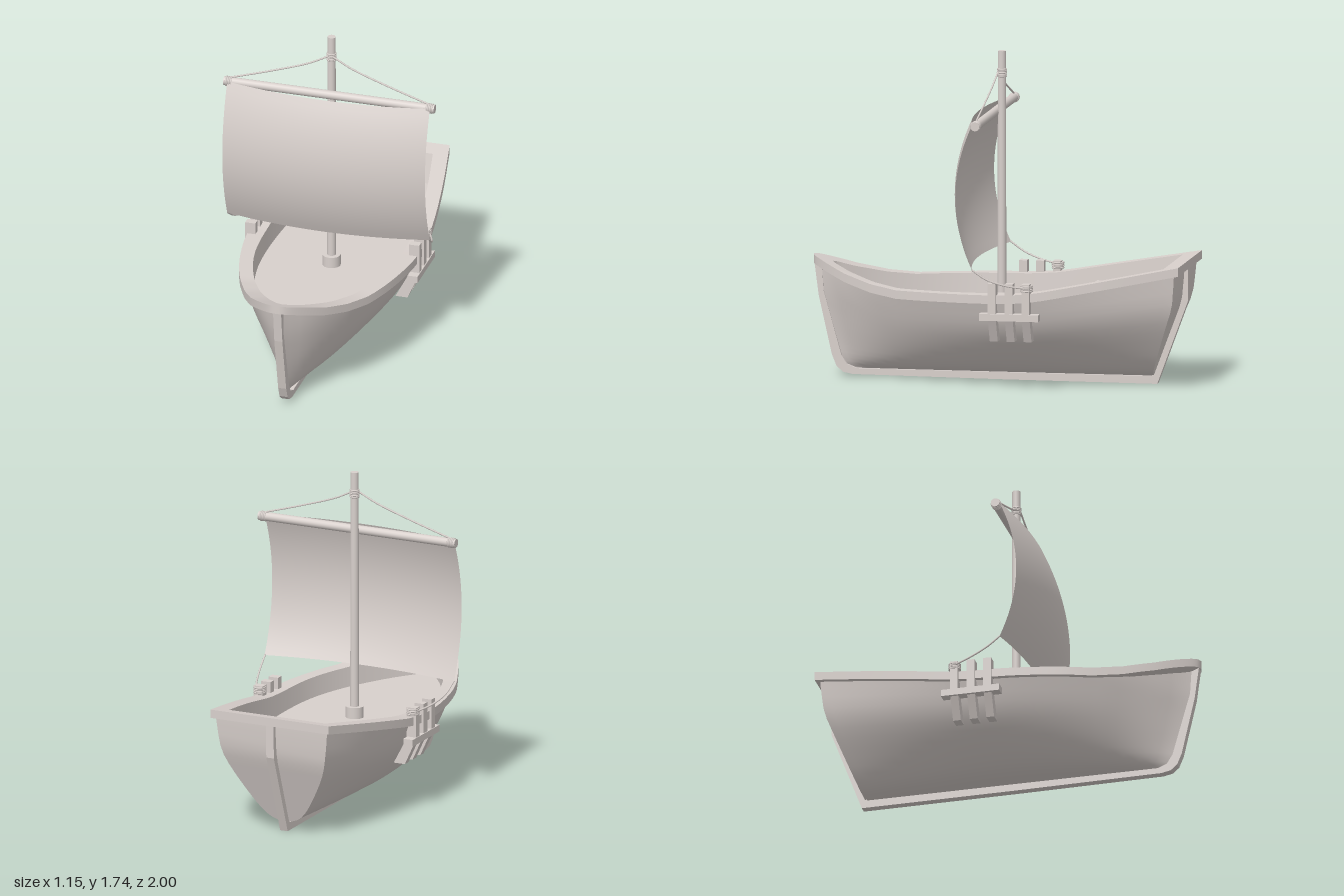
import * as THREE from 'three';
import { toCreasedNormals } from 'three/addons/utils/BufferGeometryUtils.js';

const V = (x, y, z) => new THREE.Vector3(x, y, z);
const wood = new THREE.MeshStandardMaterial({ color: 0xd8d0cc, side: THREE.DoubleSide });
wood.name = 'pale wood';

// Linear lookup in a table of [key, value] pairs with rising keys
function lookup(table, k) {
  if (k <= table[0][0]) return table[0][1];
  for (let i = 1; i < table.length; i++) {
    const [a, va] = table[i - 1], [b, vb] = table[i];
    if (k <= b) return va + (vb - va) * (k - a) / (b - a);
  }
  return table[table.length - 1][1];
}

// Surface through rows of points
function grid(rows, crease = 0.6) {
  const n = rows[0].length, idx = [];
  for (let i = 0; i < rows.length - 1; i++) {
    for (let j = 0; j < n - 1; j++) {
      const a = i * n + j, b = a + n;
      idx.push(a, b, a + 1, b, b + 1, a + 1);
    }
  }
  const g = new THREE.BufferGeometry().setFromPoints(rows.flat());
  g.setIndex(idx);
  return toCreasedNormals(g, crease);
}

const mirrorX = p => V(-p.x, p.y, p.z);
const smooth = pts => new THREE.CatmullRomCurve3(pts.map(([x, z]) => V(x, 0, z))).getPoints(40);
const section = pts => new THREE.SplineCurve(pts.map(p => new THREE.Vector2(...p))).getPoints(16);

// Half outlines of the gunwale, stern to bow, as [x, z]
const outer = smooth([[.345, -1], [.41, -.65], [.455, -.3], [.462, 0], [.435, .2], [.385, .4],
  [.305, .6], [.203, .8], [.105, .93], [.04, .988], [0, 1]]);
const inner = smooth([[.28, -.91], [.335, -.62], [.37, -.3], [.377, 0], [.36, .2], [.315, .38],
  [.245, .55], [.15, .72], [.07, .83], [.03, .88], [0, .9]]);
const sheer = [[-1, .66], [-.25, .52], [-.1, .508], [.5, .505], [.65, .525], [.8, .565], [1, .64]];
const top = z => lookup(sheer, z);

// Closed outline from a half outline, starting and ending mid-stern
const ring = half => [V(0, 0, half[0].z), ...half, ...half.slice(0, -1).reverse().map(mirrorX), V(0, 0, half[0].z)];

export function createModel() {
  const boat = new THREE.Group();
  boat.name = 'sailingBoat';
  const add = (name, geometry, x = 0, y = 0, z = 0, parent = boat) => {
    const m = new THREE.Mesh(geometry, wood);
    m.name = name;
    m.position.set(x, y, z);
    parent.add(m);
    return m;
  };

  // Hull: a full stern section blended into a leaner bow section, between transom and stem
  const stem = [[.04, .78], [.06, .83], [.1, .86], [.25, .905], [.45, .955], [.6, .965]];
  const stern = [[.04, -.81], [.44, -.96], [.6, -.975]];
  const sternFrame = section([[0, 0], [.3, .07], [.6, .3], [.9, .64], [1, 1]]);
  const bowFrame = section([[0, 0], [.3, .07], [.55, .28], [.79, .62], [1, 1]]);
  const widths = outer.map(p => [p.z, p.x]);
  const half = u => {
    const zTop = -.975 + 1.94 * u, h = top(zTop) - .08;
    const w = Math.max(.012, lookup(widths, zTop) - .025 - .25 * Math.max(0, u - .8));
    return sternFrame.map((s, i) => {
      const f = s.clone().lerp(bowFrame[i], u);
      const y = .04 + f.y * h, zs = lookup(stern, y);
      return V(f.x * w, y, zs + (lookup(stem, y) - zs) * u);
    });
  };
  const sections = [];
  for (let i = 0; i <= 40; i++) {
    const s = half(i / 40);
    sections.push([...s.slice(1).reverse(), ...s.map(mirrorX)]);
  }
  add('hull', grid(sections, 0.8));
  add('transom', grid([half(0), half(0).map(mirrorX)]));

  // Gunwale with its inner wall
  const o = ring(outer), n = ring(inner);
  const lift = (pts, dy) => pts.map(p => V(p.x, top(p.z) + dy, p.z));
  const under = o.map((p, i) => p.clone().lerp(n[i], .8));
  const foot = n.map(p => V(p.x * .975, .39, p.z < 0 ? p.z * .935 : p.z * .99));
  add('gunwale', grid([lift(under, -.045), lift(o, -.045), lift(o, 0), lift(n, 0), foot], 0.5));

  // Deck and raised stern platform
  const flat = pts => new THREE.Shape(pts.map(([x, z]) => new THREE.Vector2(x, -z)));
  const deckHalf = inner.map(p => [p.x, p.z]);
  const both = pts => [...pts, ...pts.slice().reverse().map(([x, z]) => [-x, z])];
  add('deck', new THREE.ShapeGeometry(flat(both(deckHalf.slice(0, -1)))).rotateX(-Math.PI / 2), 0, .4, 0);
  const aft = deckHalf.filter(p => p[1] < -.44);
  aft.push([.358, -.44]);
  add('sternPlatform', new THREE.ExtrudeGeometry(flat(both(aft)), { depth: .085, bevelEnabled: false })
    .rotateX(-Math.PI / 2), 0, .4, 0);

  // Keel, stem and sternpost in one bent timber, as [z, y]
  const keel = new THREE.Shape([[.995, .61], [.97, .42], [.9, .11], [.875, .05], [.84, .02], [.79, .01], [0, .003],
    [-.83, 0], [-.993, .44], [-.995, .615], [-.96, .615], [-.95, .44], [-.8, .041], [.77, .041],
    [.82, .062], [.85, .11], [.945, .45], [.955, .61]].map(p => new THREE.Vector2(...p)));
  add('keel', new THREE.ExtrudeGeometry(keel, { depth: .044, bevelEnabled: false }).rotateY(-Math.PI / 2), .022, 0, 0);

  // Mast, collar and yard
  add('mast', new THREE.CylinderGeometry(.0215, .0235, 1.335, 20), 0, 1.0675, 0);
  add('mastCollar', new THREE.CylinderGeometry(.048, .048, .06, 20), 0, .43, 0);
  add('yard', new THREE.CylinderGeometry(.0235, .0235, 1.15, 16).rotateZ(Math.PI / 2), 0, 1.412, .037);

  // Billowing sail
  const cloth = [];
  for (let i = 0; i <= 20; i++) {
    const row = [], v = i / 10 - 1;
    for (let j = 0; j <= 20; j++) {
      const h = j / 10 - 1;
      row.push(V(h * .553, 1.033 - v * .385, .055 + .09 * (1 - v * v) + .065 * (1 - h * h)));
    }
    cloth.push(row);
  }
  add('sail', grid(cloth));

  // Rope windings stacked along an axis
  const winding = (name, count, radius, x, y, z, alongX) => {
    const g = new THREE.Group();
    g.name = name;
    for (let i = 0; i < count; i++) {
      add('turn', new THREE.TorusGeometry(radius, .005, 6, 20).rotateX(Math.PI / 2), 0, (i - (count - 1) / 2) * .009, 0, g);
    }
    g.position.set(x, y, z);
    if (alongX) g.rotation.z = Math.PI / 2;
    boat.add(g);
  };
  const rope = (name, pts) => add(name,
    new THREE.TubeGeometry(new THREE.CatmullRomCurve3(pts), 24, .005, 6));
  winding('mastWinding', 5, .022, 0, 1.62, 0, false);

  // Rigging and side cleats on both sides
  const slat = s => new THREE.Shape([[.42, .57], [.475, .57], [.475, .4], [.41, .258], [.345, .258], [.42, .4]]
    .map(([x, y]) => new THREE.Vector2(s * x, y)));
  for (const s of [1, -1]) {
    const side = s > 0 ? 'left' : 'right';
    winding(side + 'YardWinding', 4, .0225, s * .548, 1.412, .037, true);
    rope(side + 'YardRope', [V(s * .55, 1.432, .037), V(s * .3, 1.51, .03), V(s * .12, 1.573, .024), V(s * .015, 1.625, .018)]);
    rope(side + 'Sheet', [V(s * .55, .652, .058), V(s * .54, .6, -.02), V(s * .51, .565, -.12), V(s * .475, .55, -.205)]);
    winding(side + 'CleatWinding', 4, .029, s * .447, .547, -.215, false);
    for (const z of [-.033, -.123, -.213]) {
      add(side + 'CleatSlat', new THREE.ExtrudeGeometry(slat(s), { depth: .042, bevelEnabled: false }), 0, 0, z - .021);
    }
    add(side + 'CleatRail', new THREE.BoxGeometry(.055, .036, .315), s * .452, .393, -.124);
  }
  return boat;
}
